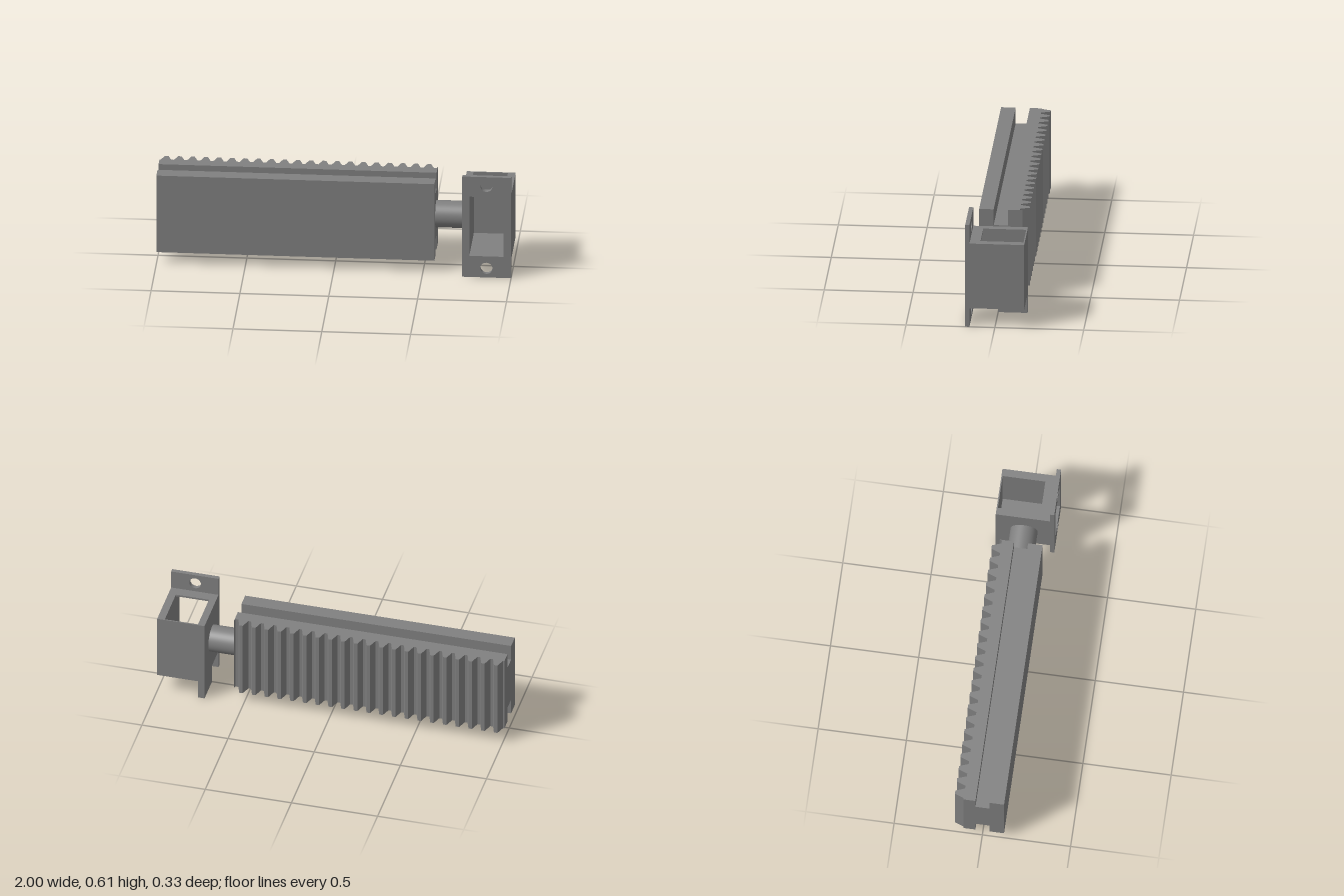
import * as THREE from 'three';

const grey = new THREE.MeshStandardMaterial({ color: 0x808080 });
grey.name = 'grey';

function add(group, name, geometry) {
  const mesh = new THREE.Mesh(geometry, grey);
  mesh.name = name;
  group.add(mesh);
  return mesh;
}

// Axis-aligned box from its limits
function block(x0, x1, y0, y1, z0, z1) {
  return new THREE.BoxGeometry(x1 - x0, y1 - y0, z1 - z0)
    .translate((x0 + x1) / 2, (y0 + y1) / 2, (z0 + z1) / 2);
}

const outline = (points) => new THREE.Shape(points.map(([a, b]) => new THREE.Vector2(a, b)));
const extrude = (shape, depth) =>
  new THREE.ExtrudeGeometry(shape, { depth, bevelEnabled: false, curveSegments: 32 });

// Plan outline given as (x, -z), raised from y0 to y1
const raise = (points, y0, y1) =>
  extrude(outline(points), y1 - y0).rotateX(-Math.PI / 2).translate(0, y0, 0);

export function createModel() {
  const model = new THREE.Group();
  model.name = 'rackSlider';

  const left = -1, right = 0.565, low = 0.073, high = 0.541, groove = 0.095;

  // Slide bar: front slab with the narrow web behind it, as one profile of (-z, y)
  const profile = outline([
    [-0.123, low], [-0.041, low], [-0.041, low + groove], [0.039, low + groove],
    [0.039, high - groove], [-0.041, high - groove], [-0.041, high], [-0.123, high],
  ]);
  add(model, 'slideBar', extrude(profile, right - left).rotateY(Math.PI / 2).translate(left, 0, 0));

  // Toothed rack along the back
  const root = 0.107, tip = 0.159, pitch = 0.0739, teeth = 21;
  const edge = [[left, root]];
  for (let i = 0; i < teeth; i++) {
    const x = -0.963 + i * pitch;
    edge.push([x - 0.029, root], [x - 0.01, tip], [x + 0.01, tip], [x + 0.029, root]);
  }
  // start of one more tooth, cut off by the end of the bar
  edge.push([right - 0.005, root], [right, 0.121]);
  const plan = [[left, 0.039], [right, 0.039], ...edge.reverse()];
  add(model, 'toothedRack', raise(plan, low, high));

  // Round rod joining bar and holder
  const rod = new THREE.CylinderGeometry(0.077, 0.077, 0.16, 48).rotateZ(Math.PI / 2);
  add(model, 'rod', rod.translate(0.645, 0.307, -0.004));

  // Holder
  const holder = new THREE.Group();
  holder.name = 'holder';
  model.add(holder);
  const x0 = 0.725, x1 = 1, in0 = 0.765, in1 = 0.957, back = -0.165, front = 0.143;

  // side and back walls
  add(holder, 'holderWalls', raise([
    [x0, -front], [in0, -front], [in0, 0.158], [in1, 0.158],
    [in1, -front], [x1, -front], [x1, -back], [x0, -back],
  ], 0.112, 0.502));
  add(holder, 'holderFloor', block(in0, in1, 0.112, 0.129, -0.158, front));
  add(holder, 'holderTopBridge', block(in0, in1, 0.491, 0.502, 0.084, front));
  add(holder, 'holderRib', block(x0, 0.762, 0, 0.112, back, 0));

  // mounting plate with window and two screw holes
  const plate = outline([[x0, 0], [x1, 0], [x1, 0.613], [x0, 0.613]]);
  plate.holes.push(outline([[in0, 0.129], [in0, 0.491], [in1, 0.491], [in1, 0.129]]));
  for (const y of [0.056, 0.557]) {
    plate.holes.push(new THREE.Path().absarc(0.861, y, 0.034, 0, Math.PI * 2, true));
  }
  add(holder, 'mountingPlate', extrude(plate, 0.024).translate(0, 0, front));

  return model;
}
